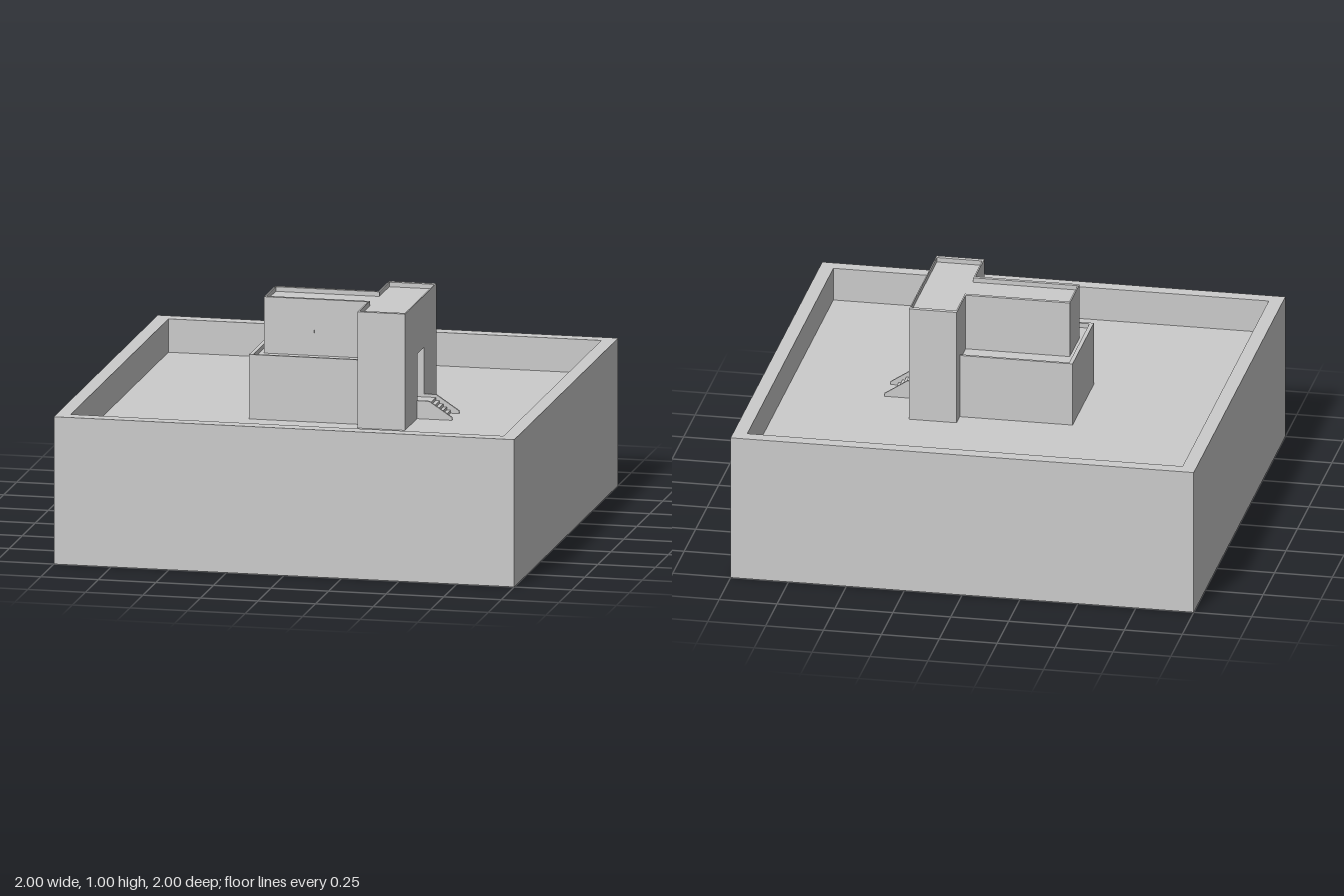
import * as THREE from 'three';

const material = new THREE.MeshStandardMaterial({ color: 0xcccccc, flatShading: true });

const FLOOR = 0.495, RIM = 0.64, TERRACE = 0.755, TERRACE_RIM = 0.775, ROOF = 0.98, TOP = 1;

// Outline of a rectangle, and of the T-shaped plan of wing plus tower
const rect = (x0, x1, z) => [[x0, -z], [x1, -z], [x1, z], [x0, z]];
const tee = (x0, xm, x1, zWing, zTower) => [
  [x0, -zWing], [xm, -zWing], [xm, -zTower], [x1, -zTower],
  [x1, zTower], [xm, zTower], [xm, zWing], [x0, zWing],
];
const toVectors = (pts) => pts.map(([a, b]) => new THREE.Vector2(a, b));

function extrude(pts, depth, hole) {
  const shape = new THREE.Shape(toVectors(pts));
  if (hole) shape.holes.push(new THREE.Path(toVectors(hole)));
  return new THREE.ExtrudeGeometry(shape, { depth, bevelEnabled: false });
}

// Upright prism over a plan in x and z
const prism = (pts, y0, y1, hole) =>
  extrude(pts, y1 - y0, hole).rotateX(-Math.PI / 2).translate(0, y0, 0);

export function createModel() {
  const group = new THREE.Group();
  const add = (name, geometry) => {
    const mesh = new THREE.Mesh(geometry, material);
    mesh.name = name;
    group.add(mesh);
  };

  // Ground block with its perimeter wall
  add('base', prism(rect(-1, 1, 1), 0, FLOOR));
  add('perimeterWall', prism(rect(-1, 1, 1), FLOOR, RIM, rect(-0.94, 0.94, 0.94)));

  // Lower storey with a terrace behind a low parapet
  add('lowerStorey', prism(rect(-0.325, 0.165, 0.233), FLOOR, TERRACE));
  add('terraceParapet', prism(rect(-0.325, 0.165, 0.233), TERRACE, TERRACE_RIM,
    rect(-0.308, 0.163, 0.22)));

  // Upper wing and entrance tower sharing one roof
  add('towerAndWing', prism(tee(-0.288, 0.162, 0.34, 0.107, 0.303), FLOOR, ROOF));
  add('roofParapet', prism(tee(-0.288, 0.162, 0.368, 0.107, 0.303), ROOF, TOP,
    tee(-0.282, 0.168, 0.363, 0.09, 0.282)));

  // Entrance wall with a recessed doorway
  const wall = [
    [-0.303, FLOOR], [-0.062, FLOOR], [-0.062, TERRACE_RIM], [0.062, TERRACE_RIM],
    [0.062, FLOOR], [0.303, FLOOR], [0.303, ROOF], [-0.303, ROOF],
  ];
  add('entranceWall', extrude(wall, 0.028).rotateY(Math.PI / 2).translate(0.34, 0, 0));

  // Stair flight: landing, then steps down to the courtyard
  const landing = 0.56, steps = 5, run = 0.016, rise = (landing - FLOOR) / steps;
  const profile = [[0.34, FLOOR], [0.34, landing], [0.42, landing]];
  for (let i = 1; i <= steps; i++) {
    const x = 0.42 + (i - 1) * run, y = landing - i * rise;
    profile.push([x, y]);
    if (i < steps) profile.push([x + run, y]);
  }
  add('stairs', extrude(profile.reverse(), 0.124).translate(0, 0, -0.062));

  // Thin side walls of the stairs
  const side = [[0.368, FLOOR], [0.52, FLOOR], [0.52, 0.507], [0.42, 0.573], [0.368, 0.573]];
  for (const s of [-1, 1]) {
    add('stairSideWall', extrude(side, 0.01).translate(0, 0, s * 0.067 - 0.005));
  }

  // Small fixtures on the front of the wing
  for (const [x, y, w, h] of [[-0.145, 0.857, 0.016, 0.022], [-0.075, 0.86, 0.01, 0.012], [-0.112, 0.79, 0.02, 0.016]]) {
    add('wallFixture', extrude([[x - w / 2, y - h / 2], [x + w / 2, y - h / 2], [x + w / 2, y + h / 2]], 0.004)
      .translate(0, 0, 0.105));
  }
  return group;
}
